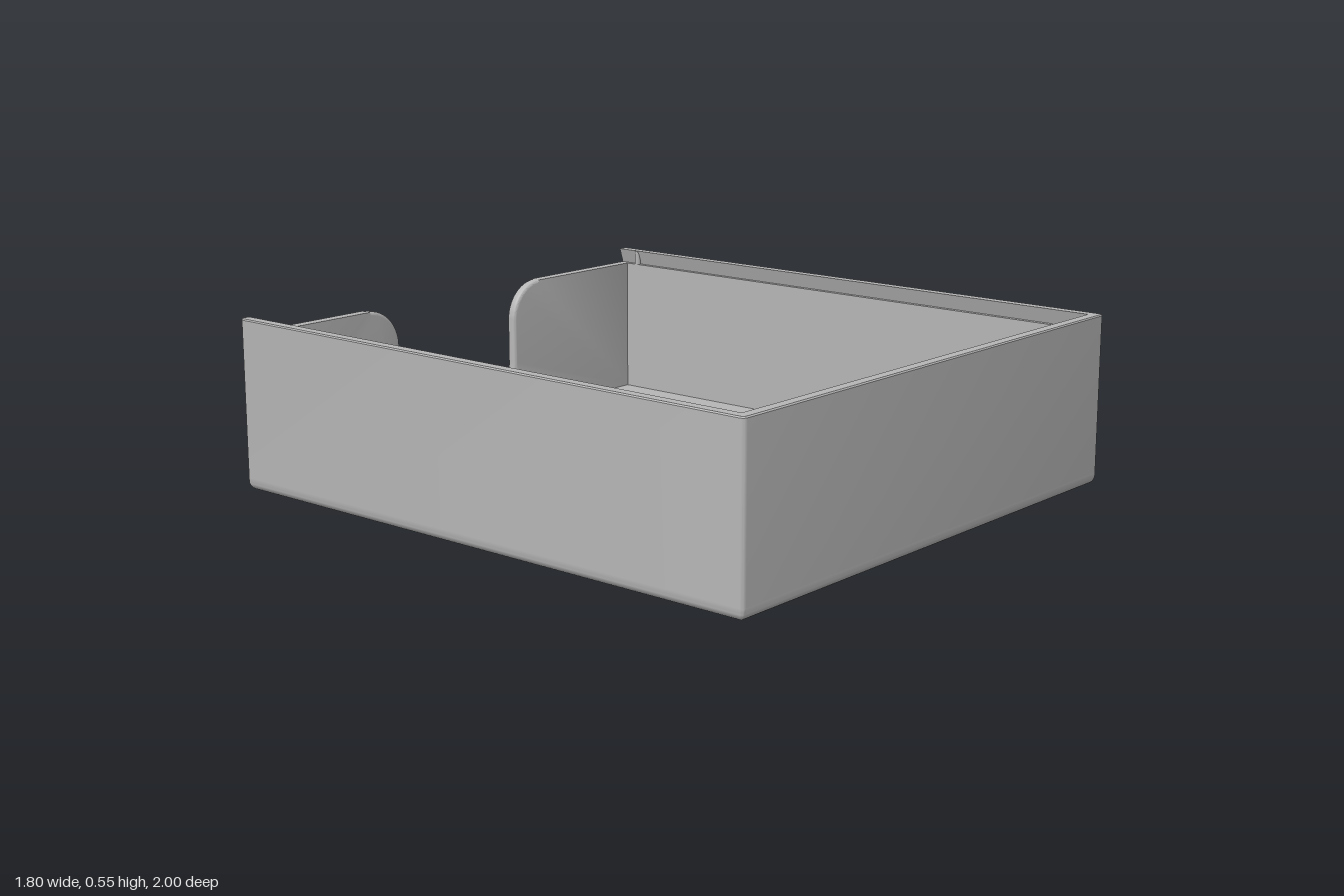
import * as THREE from 'three';
import { toCreasedNormals } from 'three/addons/utils/BufferGeometryUtils.js';

const W = 0.9, D = 1;            // half width and half depth
const FLOOR = 0.04, TOP = 0.55;  // floor surface and rim heights
const LEDGE = 0.5;               // bottom of the lid groove, top of the back wall
const WALL = 0.036, R = 0.015;   // wall thickness and vertical corner radius
const CREASE = 0.55;

// Skin a grid of points: every row is a list of Vector3 of equal length.
function skin(rows) {
  const n = rows[0].length;
  const index = [];
  for (let i = 0; i < rows.length - 1; i++) {
    for (let j = 0; j < n - 1; j++) {
      const a = i * n + j, b = a + 1, c = a + n, d = c + 1;
      index.push(a, b, d, a, d, c);
    }
  }
  const geometry = new THREE.BufferGeometry().setFromPoints(rows.flat());
  geometry.setIndex(index);
  return toCreasedNormals(geometry, CREASE);
}

// Four rounded corners in plan: back left, front left, front right, back right.
function planCorners(inset, backInset, y) {
  const r = Math.max(0, R - inset), steps = 5, points = [];
  const corners = [[-1, -1, -Math.PI / 2], [-1, 1, -Math.PI], [1, 1, -Math.PI * 1.5], [1, -1, 0]];
  for (const [sx, sz, start] of corners) {
    const cx = sx * (W - inset - r);
    const cz = sz * (D - (sz < 0 ? backInset : inset) - r);
    for (let k = 0; k <= steps; k++) {
      const a = start - (k / steps) * Math.PI / 2;
      points.push(new THREE.Vector3(cx + r * Math.cos(a), y, cz + r * Math.sin(a)));
    }
  }
  return points;
}

// Floor slab with a rounded lower edge
function baseGeometry() {
  const fillet = 0.03, rows = [];
  const ring = (inset, y) => {
    const loop = planCorners(inset, inset, y);
    rows.push([...loop, loop[0].clone()]);
  };
  const centre = y => rows.push(new Array(25).fill(0).map(() => new THREE.Vector3(0, y, 0)));
  centre(0);
  for (let k = 0; k <= 6; k++) {
    const a = (k / 6) * Math.PI / 2;
    ring(fillet * (1 - Math.sin(a)), fillet * (1 - Math.cos(a)));
  }
  ring(0, FLOOR);
  centre(FLOOR);
  return skin(rows);
}

// Wall section (inset from outside, height) with an undercut groove for a sliding lid
const section = [
  [0, FLOOR], [0, TOP - 0.004], [0.004, TOP], [WALL, TOP],
  [0.02, LEDGE], [WALL, LEDGE], [WALL, FLOOR],
];

// Back wall with a flared finger notch whose edges are rounded
function backGeometry() {
  const x = W - 0.025, low = 0.03, notch = 0.05, bevel = 0.011;
  const top = 0.13, bottom = 0.17, side = 0.27;
  const s = new THREE.Shape();
  s.moveTo(-x, low);
  s.lineTo(x, low);
  s.lineTo(x, LEDGE);
  s.lineTo(side + top, LEDGE);
  s.absarc(side + top, LEDGE - top, top, Math.PI / 2, Math.PI, false);
  s.lineTo(side, notch + bottom);
  s.absarc(side - bottom, notch + bottom, bottom, 0, -Math.PI / 2, true);
  s.lineTo(bottom - side, notch);
  s.absarc(bottom - side, notch + bottom, bottom, -Math.PI / 2, -Math.PI, true);
  s.lineTo(-side, LEDGE - top);
  s.absarc(-side - top, LEDGE - top, top, 0, Math.PI / 2, false);
  s.lineTo(-x, LEDGE);
  s.closePath();
  const geometry = new THREE.ExtrudeGeometry(s, {
    depth: WALL - 2 * bevel, curveSegments: 14,
    bevelEnabled: true, bevelSize: bevel, bevelOffset: -bevel, bevelThickness: bevel, bevelSegments: 4,
  });
  geometry.translate(0, 0, -D + bevel);
  // Keep the straight top edge square
  const p = geometry.attributes.position;
  for (let i = 0; i < p.count; i++) {
    if (Math.abs(p.getX(i)) > side + top - 0.004 && p.getY(i) > LEDGE - bevel - 0.001) p.setY(i, LEDGE);
  }
  return toCreasedNormals(geometry, CREASE);
}

export function createModel() {
  const group = new THREE.Group();
  const grey = new THREE.MeshStandardMaterial({ color: 0xb6b6b6 });
  grey.name = 'grey plastic';
  const add = (name, geometry) => {
    const mesh = new THREE.Mesh(geometry, grey);
    mesh.name = name;
    group.add(mesh);
    return mesh;
  };

  add('base', baseGeometry());
  add('sideAndFrontWalls', skin(section.map(([inset, y]) => planCorners(inset, 0, y))));
  add('backWall', backGeometry());

  for (const s of [-1, 1]) {
    const name = s > 0 ? 'left' : 'right';
    // Open end of the lid rail
    const outline = section.map(([inset, y]) => new THREE.Vector2(-s * (W - Math.max(inset, R)), y));
    const end = new THREE.ShapeGeometry(new THREE.Shape(outline));
    add(name + 'RailEnd', end.rotateY(Math.PI).translate(0, 0, -D));
    // Small catch in the groove that holds the lid shut
    const catchPin = add(name + 'LidCatch', new THREE.CylinderGeometry(0.011, 0.011, 0.046, 16));
    catchPin.position.set(s * 0.873, LEDGE + 0.023, -0.92);
  }
  return group;
}
